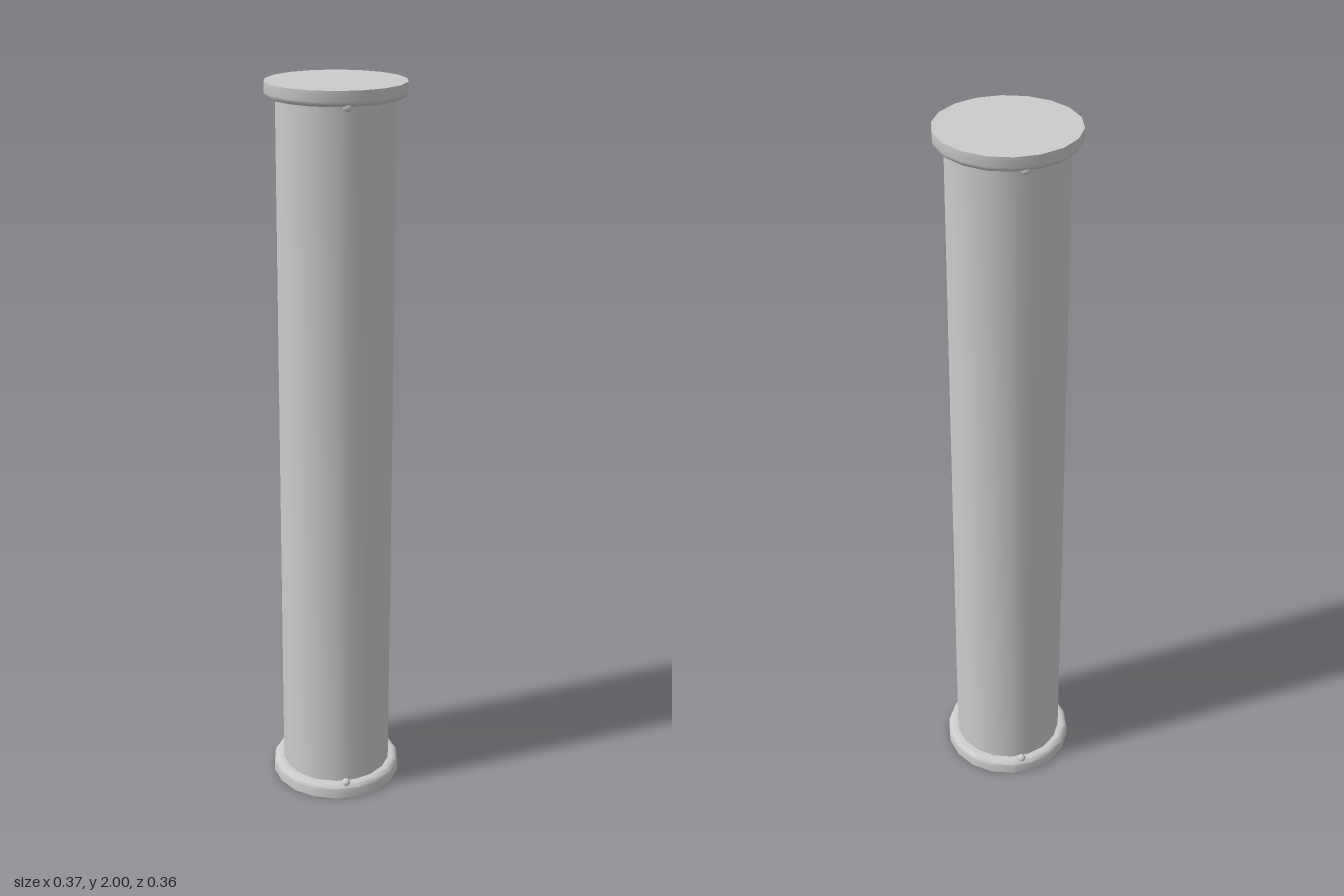
import * as THREE from 'three';
import { toCreasedNormals } from 'three/addons/utils/BufferGeometryUtils.js';

const SIDES = 18;
const HEIGHT = 2;

export function createModel() {
  const group = new THREE.Group();
  const material = new THREE.MeshStandardMaterial({ color: 0xcccccc });

  // Turned part, with a corner of the polygon on the x axis
  function turned(name, profile) {
    const points = profile.map(([r, y]) => new THREE.Vector2(r, y));
    const geometry = new THREE.LatheGeometry(points, SIDES, Math.PI / 2);
    const mesh = new THREE.Mesh(toCreasedNormals(geometry, 0.7), material);
    mesh.name = name;
    return mesh;
  }

  // Long shaft between the two end caps
  group.add(turned('shaft', [[0.155, 0.03], [0.155, HEIGHT - 0.03]]));

  // End caps: flat outer disc, rounded inner rim, two small studs
  function endCap(name) {
    const cap = new THREE.Group();
    cap.name = name;
    cap.add(turned('flange', [
      [0, 0], [0.183, 0], [0.183, 0.026], [0.181, 0.033],
      [0.175, 0.039], [0.166, 0.041], [0.15, 0.041],
    ]));
    for (const side of [1, -1]) {
      const stud = new THREE.Mesh(new THREE.SphereGeometry(0.012, 12, 8), material);
      stud.name = side > 0 ? 'frontStud' : 'backStud';
      stud.position.set(0, 0.041, side * 0.165);
      cap.add(stud);
    }
    return cap;
  }

  group.add(endCap('bottomCap'));
  const topCap = endCap('topCap');
  topCap.rotation.x = Math.PI;
  topCap.position.y = HEIGHT;
  group.add(topCap);

  return group;
}
